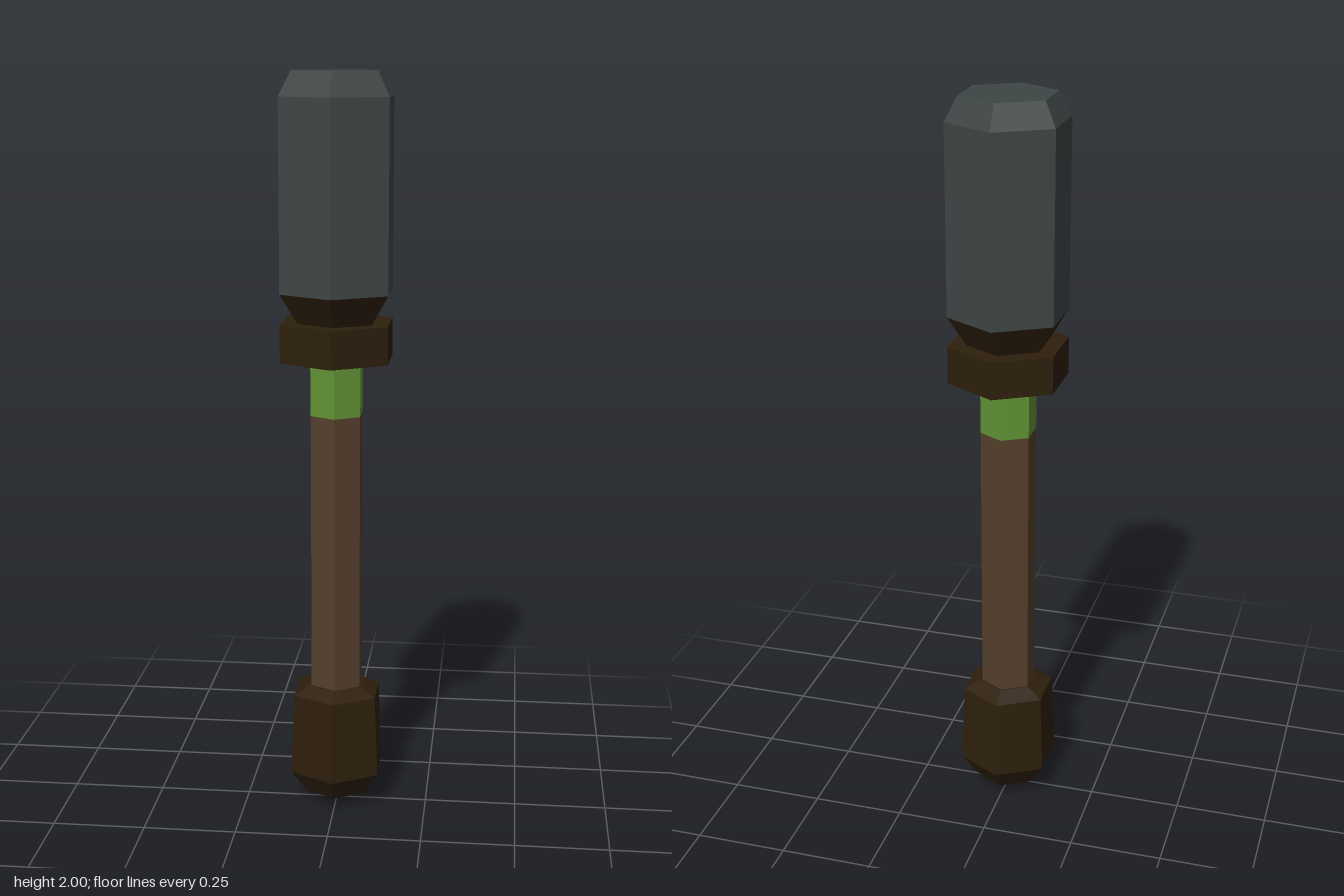
import * as THREE from 'three';

const material = (name, color) => {
  const m = new THREE.MeshStandardMaterial({ color });
  m.name = name;
  return m;
};

export function createModel() {
  const group = new THREE.Group();
  group.name = 'mallet';

  const steel = material('dark steel', 0x3e4645);
  const wood = material('brown wood', 0x553f2c);
  const darkWood = material('dark brown', 0x2e1f0c);
  const green = material('green band', 0x629335);

  // Six-sided faceted solid from [radius, height] pairs, bottom to top; corners point to +z and -z
  const hexPart = (name, mat, profile) => {
    const points = profile.map(([r, y]) => new THREE.Vector2(r, y));
    const geometry = new THREE.LatheGeometry(points, 6).toNonIndexed();
    geometry.computeVertexNormals();
    const mesh = new THREE.Mesh(geometry, mat);
    mesh.name = name;
    group.add(mesh);
  };

  // Rounded grip end
  hexPart('pommel', darkWood, [[0, 0], [0.092, 0.035], [0.138, 0.1], [0.128, 0.325], [0.08, 0.347], [0, 0.347]]);
  // Handle and its painted band
  hexPart('shaft', wood, [[0.076, 0.34], [0.076, 1.107]]);
  hexPart('band', green, [[0.076, 1.107], [0.077, 1.26]]);
  // Guard under the head and the flared socket above it
  hexPart('collar', darkWood, [[0, 1.255], [0.163, 1.255], [0.163, 1.356], [0, 1.356]]);
  hexPart('socket', darkWood, [[0.108, 1.35], [0.163, 1.436]]);
  // Head with bevelled top
  hexPart('head', steel, [[0.163, 1.436], [0.163, 1.937], [0.128, 2], [0, 2]]);

  return group;
}
